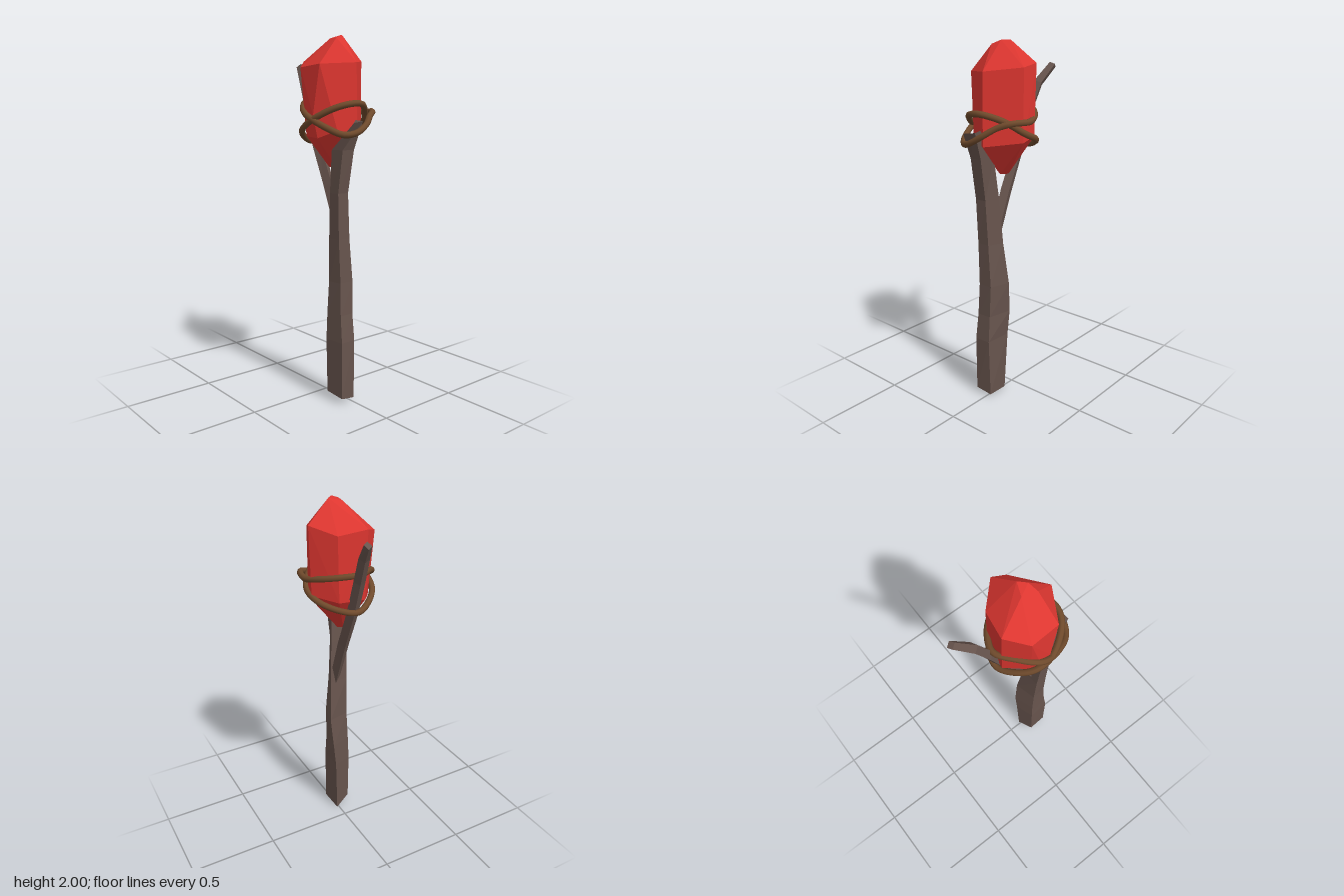
import * as THREE from 'three';
import { ConvexGeometry } from 'three/addons/geometries/ConvexGeometry.js';

const material = (color, flatShading) => new THREE.MeshStandardMaterial({ color, flatShading });

// Skin a stack of four-cornered rings (listed anticlockwise from above) and cap both ends
function loft(rings) {
  const pos = rings.flat(2), idx = [];
  const n = 4, last = (rings.length - 1) * n;
  for (let i = 0; i < rings.length - 1; i++) {
    for (let j = 0; j < n; j++) {
      const a = i * n + j, b = i * n + (j + 1) % n;
      idx.push(a, b, b + n, a, b + n, a + n);
    }
  }
  idx.push(0, 2, 1, 0, 3, 2, last, last + 1, last + 2, last, last + 2, last + 3);
  const g = new THREE.BufferGeometry();
  g.setAttribute('position', new THREE.Float32BufferAttribute(pos, 3));
  g.setIndex(idx);
  const flat = g.toNonIndexed();
  flat.computeVertexNormals();
  return flat;
}

// Closed cord through a ring of points
function cord(points) {
  const curve = new THREE.CatmullRomCurve3(points.map(p => new THREE.Vector3(...p)), true);
  return new THREE.TubeGeometry(curve, 64, 0.017, 8, true);
}

export function createModel() {
  const group = new THREE.Group();
  const wood = material(0x67544d, true);
  const rope = material(0x6f4a2c, false);
  const add = (name, geometry, mat) => {
    const mesh = new THREE.Mesh(geometry, mat);
    mesh.name = name;
    group.add(mesh);
  };

  // Shaft: uneven square pole; corners run front left, front right, back right, back left
  const level = (y, ...corners) => corners.map(([x, z]) => [x, y, z]);
  add('shaft', loft([
    [[0.112, 0.045, 0.083], [0.226, 0.03, 0.073], [0.215, 0.012, -0.022], [0.08, 0, -0.012]],
    level(0.35, [0.105, 0.085], [0.226, 0.075], [0.222, -0.018], [0.067, -0.025]),
    level(0.5, [0.107, 0.08], [0.209, 0.07], [0.208, -0.015], [0.065, -0.04]),
    level(0.68, [0.115, 0.075], [0.2, 0.065], [0.202, -0.02], [0.083, -0.05]),
    level(0.92, [0.122, 0.08], [0.196, 0.074], [0.197, 0], [0.11, -0.032]),
    level(1.17, [0.138, 0.088], [0.2, 0.083], [0.2, 0.014], [0.125, -0.018]),
    level(1.4, [0.155, 0.09], [0.235, 0.083], [0.238, 0.008], [0.145, 0]),
    [[0.255, 1.5, 0.058], [0.303, 1.54, 0.067], [0.292, 1.55, -0.005], [0.243, 1.555, 0.003]],
  ]), wood);

  // Branch: thinner fork leaning outwards, [x, y, z, half width, half depth, slope of section]
  const branchPath = [
    [0.15, 0.9, 0.01, 0.03, 0.025, 0.4], [0.035, 1.2, 0.01, 0.033, 0.03, 0.4],
    [-0.066, 1.42, 0.008, 0.029, 0.031, 0.4], [-0.142, 1.62, 0.003, 0.025, 0.031, 0.45],
    [-0.21, 1.765, -0.012, 0.023, 0.029, 0.6], [-0.297, 1.86, -0.045, 0.018, 0.02, 0.8],
  ];
  add('branch', loft(branchPath.map(([x, y, z, w, d, slope]) =>
    [[-0.3, 1], [1, 0.3], [0.3, -1], [-1, -0.3]]
      .map(([u, v]) => [x + u * w, y + u * w * slope, z + v * d]))), wood);

  // Crystal: faceted hull around the tips, shoulder and lower girdle
  const crystalPoints = [
    [0.07, 2, -0.055], [0.105, 2, -0.02], [0.045, 1.985, 0.01], [0.12, 1.98, 0.03],
    [-0.11, 1.87, 0.07], [-0.015, 1.83, 0.165], [0.14, 1.84, 0.16], [0.235, 1.85, -0.01],
    [0.1, 1.87, -0.165], [0.03, 1.89, -0.19], [-0.08, 1.85, -0.085],
    [-0.105, 1.5, 0.06], [0.035, 1.59, 0.17], [0.1, 1.58, 0.172], [0.01, 1.47, 0.145],
    [0.11, 1.46, 0.15], [0.2, 1.5, 0.09], [0.24, 1.47, -0.01],
    [0.1, 1.49, -0.165], [0.03, 1.52, -0.18], [-0.085, 1.5, -0.08],
    [0.03, 1.3, 0.005], [0.09, 1.3, 0.005], [0.05, 1.3, -0.02],
  ];
  add('crystal', new ConvexGeometry(crystalPoints.map(p => new THREE.Vector3(...p))), material(0xdd3630, true));

  // Two crossing cords tying the crystal into the fork
  add('outerCord', cord([
    [-0.125, 1.65, 0.02], [-0.06, 1.64, 0.11], [0.05, 1.585, 0.182], [0.19, 1.515, 0.155],
    [0.265, 1.48, 0.1], [0.293, 1.49, 0.04], [0.283, 1.53, -0.035], [0.24, 1.575, -0.1],
    [0.19, 1.6, -0.165], [0.08, 1.6, -0.188], [-0.01, 1.62, -0.15], [-0.09, 1.64, -0.07],
  ]), rope);
  add('innerCord', cord([
    [-0.11, 1.44, 0.02], [-0.06, 1.475, 0.115], [0.01, 1.51, 0.17], [0.1, 1.555, 0.18],
    [0.2, 1.61, 0.125], [0.25, 1.635, 0.06], [0.256, 1.64, -0.02], [0.19, 1.605, -0.11],
    [0.1, 1.54, -0.175], [0, 1.5, -0.165], [-0.085, 1.455, -0.07],
  ]), rope);

  return group;
}
